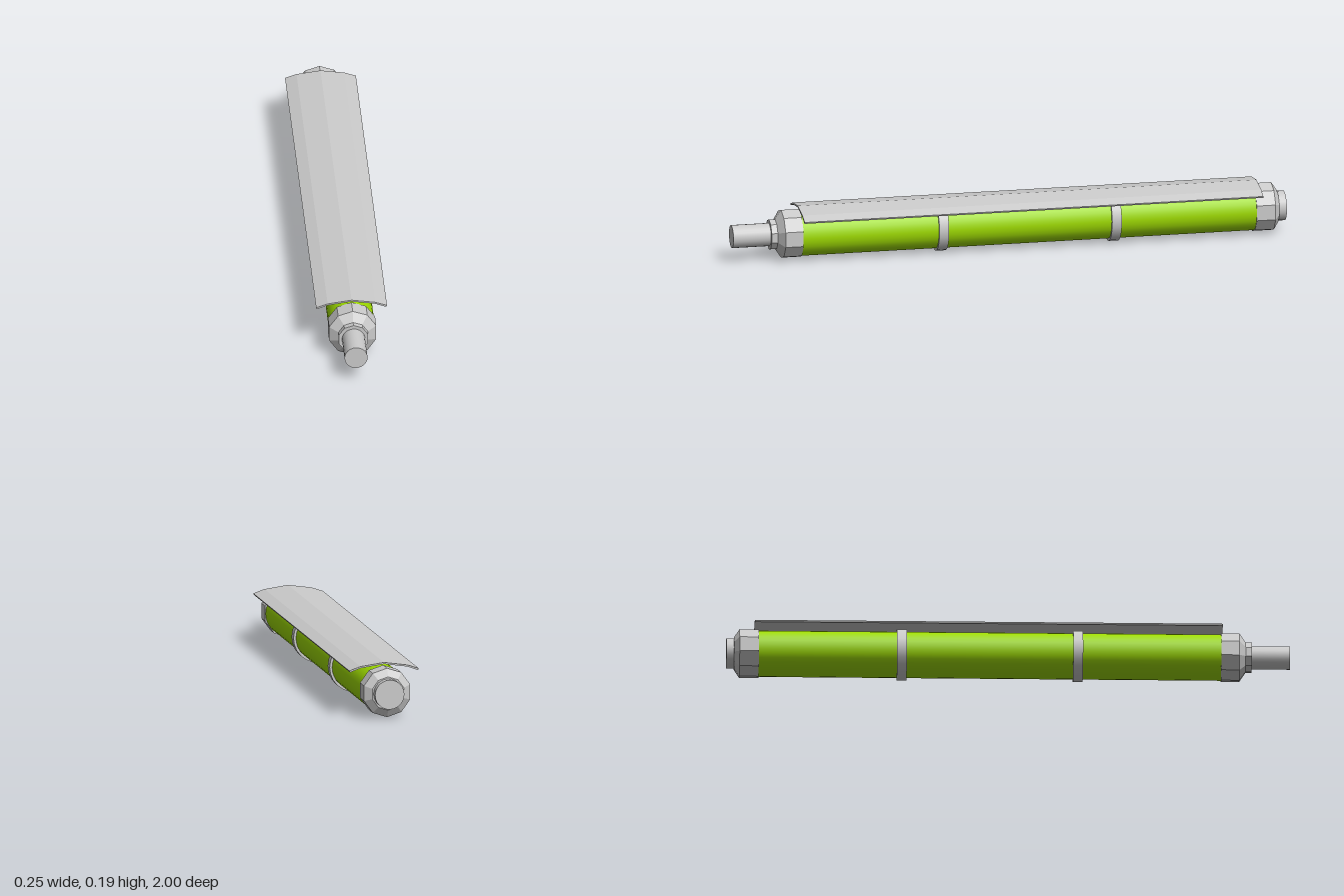
import * as THREE from 'three';

export function createModel() {
  const group = new THREE.Group();
  group.name = 'pen';
  const axisY = 0.092;
  const grey = new THREE.MeshStandardMaterial({ color: 0xcccccc });
  const greyFlat = new THREE.MeshStandardMaterial({ color: 0xcccccc, flatShading: true });
  const green = new THREE.MeshStandardMaterial({ color: 0x9fdc00 });

  function add(name, geometry, material) {
    const mesh = new THREE.Mesh(geometry, material);
    mesh.name = name;
    group.add(mesh);
  }

  // Round part lying along z, between z0 and z1
  function rod(name, radius, z0, z1, material, sides = 24) {
    const g = new THREE.CylinderGeometry(radius, radius, z1 - z0, sides);
    g.rotateX(Math.PI / 2);
    g.translate(0, axisY, (z0 + z1) / 2);
    add(name, g, material);
  }

  // Ten-sided turned part, profile given as [radius, z] with z rising
  function turned(name, profile) {
    const g = new THREE.LatheGeometry(profile.map(([r, z]) => new THREE.Vector2(r, z)), 10);
    g.rotateX(Math.PI / 2);
    g.translate(0, axisY, 0);
    add(name, g, greyFlat);
  }

  // Barrel and its two bands
  rod('barrel', 0.082, -0.89, 0.76, green, 32);
  rod('frontBand', 0.091, 0.23, 0.265, grey);
  rod('rearBand', 0.091, -0.395, -0.36, grey);

  // Stepped front cap and protruding tip
  turned('frontCap', [[0, 0.755], [0.088, 0.755], [0.088, 0.82], [0.055, 0.842], [0.055, 0.864], [0, 0.864]]);
  rod('tip', 0.041, 0.85, 1, grey);

  // Chamfered rear cap and end button
  turned('rearCap', [[0, -0.972], [0.06, -0.972], [0.088, -0.953], [0.088, -0.885], [0, -0.885]]);
  rod('endButton', 0.053, -1, -0.96, grey);

  // Thin bent panel resting along the top
  const top = [[-0.126, 0.166], [-0.085, 0.18], [0, 0.192], [0.085, 0.18], [0.126, 0.166]];
  const under = [[0.123, 0.16], [0.084, 0.174], [0, 0.186], [-0.084, 0.174], [-0.123, 0.16]];
  const section = new THREE.Shape([...top, ...under].map(([x, y]) => new THREE.Vector2(x, y)));
  const panel = new THREE.ExtrudeGeometry(section, { depth: 1.66, bevelEnabled: false });
  panel.translate(0, 0, -0.9);
  add('topPanel', panel, greyFlat);

  return group;
}
